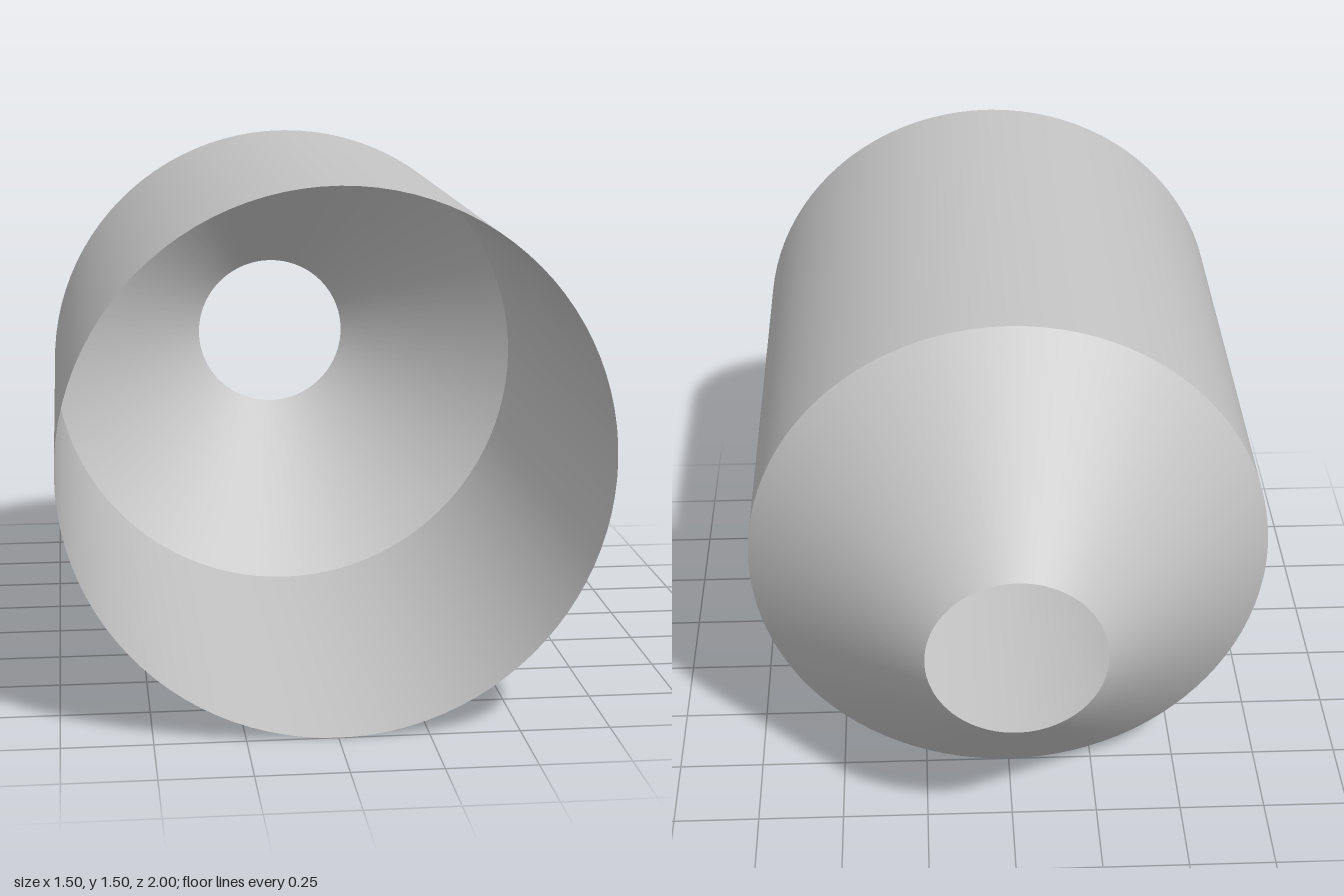
import * as THREE from 'three';

export function createModel() {
  const model = new THREE.Group();
  model.name = 'taperedTube';

  const grey = new THREE.MeshStandardMaterial({ color: 0xc4c4c4, side: THREE.DoubleSide });
  grey.name = 'light grey';

  const radius = 0.75;
  const segments = 96;

  // Open thin-walled ring section running along z, narrowing towards the back
  function addSection(name, backRadius, frontRadius, backZ, frontZ) {
    const geometry = new THREE.CylinderGeometry(backRadius, frontRadius, frontZ - backZ, segments, 1, true);
    geometry.rotateX(-Math.PI / 2);
    const mesh = new THREE.Mesh(geometry, grey);
    mesh.name = name;
    mesh.position.set(0, radius, (backZ + frontZ) / 2);
    model.add(mesh);
  }

  // Straight barrel, open at the front
  addSection('barrel', radius, radius, -0.5, 1);
  // Cone at the back with a round opening
  addSection('taperedNeck', 0.25, radius, -1, -0.5);

  return model;
}
